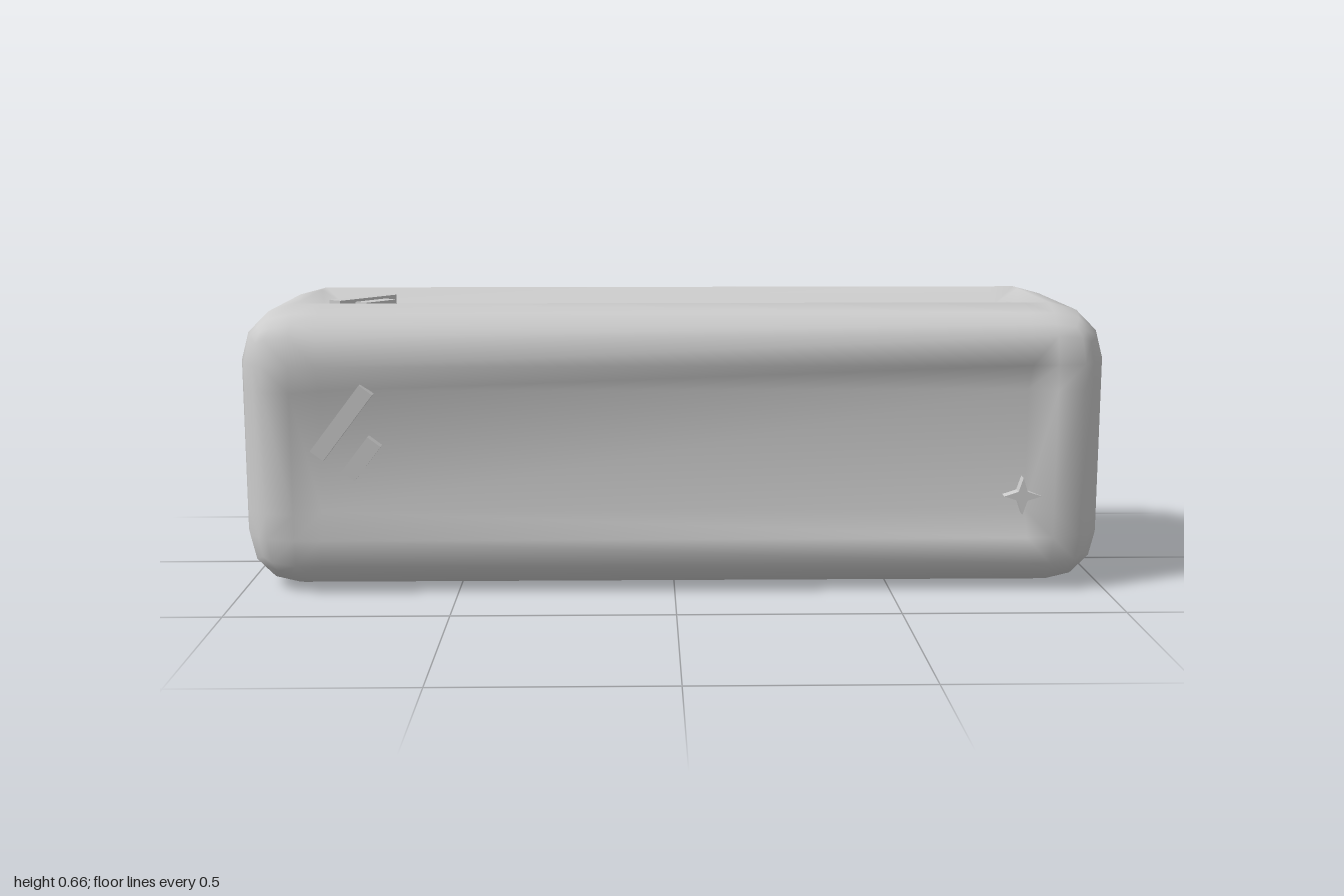
import * as THREE from 'three';
import { mergeGeometries, mergeVertices } from 'three/addons/utils/BufferGeometryUtils.js';

const RADIUS = 0.13, LIP = 0.06, DEPTH = 0.04;

// One side of the bar facing +z: rounded border, then a sloped lip down to a sunken panel.
function sidePanel(halfU, halfV, halfN) {
  const tilt = [-1, -Math.tan(Math.PI / 6), 0, 0, 0, 0, Math.tan(Math.PI / 6), 1];
  const inner = (i) => i === 3 || i === 4;
  const base = (i, half) => Math.sign(i - 3.5) * (half - RADIUS - (inner(i) ? LIP : 0));
  const positions = [], index = [];
  for (let j = 0; j < 8; j++) {
    for (let i = 0; i < 8; i++) {
      const dir = new THREE.Vector3(tilt[i], tilt[j], 1);
      const onSeam = i % 7 === 0 || j % 7 === 0;
      dir.setLength(RADIUS * (onSeam ? Math.cos(Math.PI / 12) : 1));
      const sink = inner(i) && inner(j) ? DEPTH : 0;
      positions.push(base(i, halfU) + dir.x, base(j, halfV) + dir.y, halfN - RADIUS + dir.z - sink);
    }
  }
  // Diagonals run towards the corners so the lip is mitred
  for (let j = 0; j < 7; j++) {
    for (let i = 0; i < 7; i++) {
      const a = j * 8 + i, b = a + 1, c = a + 9, d = a + 8;
      if ((i < 3) === (j < 3)) index.push(a, b, c, a, c, d);
      else index.push(a, b, d, b, c, d);
    }
  }
  const geometry = new THREE.BufferGeometry();
  geometry.setAttribute('position', new THREE.Float32BufferAttribute(positions, 3));
  geometry.setIndex(index);
  return geometry;
}

function barGeometry() {
  const sides = [];
  for (let k = 0; k < 4; k++) sides.push(sidePanel(1, 0.33, 0.33).rotateX(k * Math.PI / 2));
  for (const s of [-1, 1]) sides.push(sidePanel(0.33, 0.33, 1).rotateY(s * Math.PI / 2));
  const geometry = mergeVertices(mergeGeometries(sides), 1e-4);
  geometry.computeVertexNormals();
  return geometry;
}

// Four-pointed star with narrow arms
function starGeometry() {
  const points = [];
  for (let k = 0; k < 8; k++) {
    const r = k % 2 ? 0.015 : 0.043;
    points.push(new THREE.Vector2(r * Math.cos(k * Math.PI / 4), r * Math.sin(k * Math.PI / 4)));
  }
  return new THREE.ExtrudeGeometry(new THREE.Shape(points), { depth: 0.04, bevelEnabled: false });
}

// Two slanted glint bars and a star, raised from the sunken panel
function sparkleSet(name, material) {
  const group = new THREE.Group();
  group.name = name;
  for (const [label, x, y, length] of [['longGlint', -0.757, 0.07, 0.19], ['shortGlint', -0.714, -0.013, 0.1]]) {
    const bar = new THREE.Mesh(new THREE.BoxGeometry(length, 0.037, 0.04), material);
    bar.name = label;
    bar.position.set(x, y, 0.298);
    bar.rotation.z = 0.92;
    group.add(bar);
  }
  const star = new THREE.Mesh(starGeometry(), material);
  star.name = 'star';
  star.position.set(0.8, -0.105, 0.278);
  group.add(star);
  return group;
}

export function createModel() {
  const silver = new THREE.MeshStandardMaterial({ color: 0xcccccc });
  silver.name = 'silver grey';
  const model = new THREE.Group();
  model.name = 'bar';

  const body = new THREE.Mesh(barGeometry(), silver);
  body.name = 'body';
  body.position.y = 0.33;
  model.add(body);

  // Sparkles on the front, back and top
  for (const [name, rx, ry] of [['frontSparkle', 0, 0], ['backSparkle', 0, Math.PI], ['topSparkle', -Math.PI / 2, 0]]) {
    const set = sparkleSet(name, silver);
    set.rotation.set(rx, ry, 0);
    set.position.y = 0.33;
    model.add(set);
  }
  return model;
}
